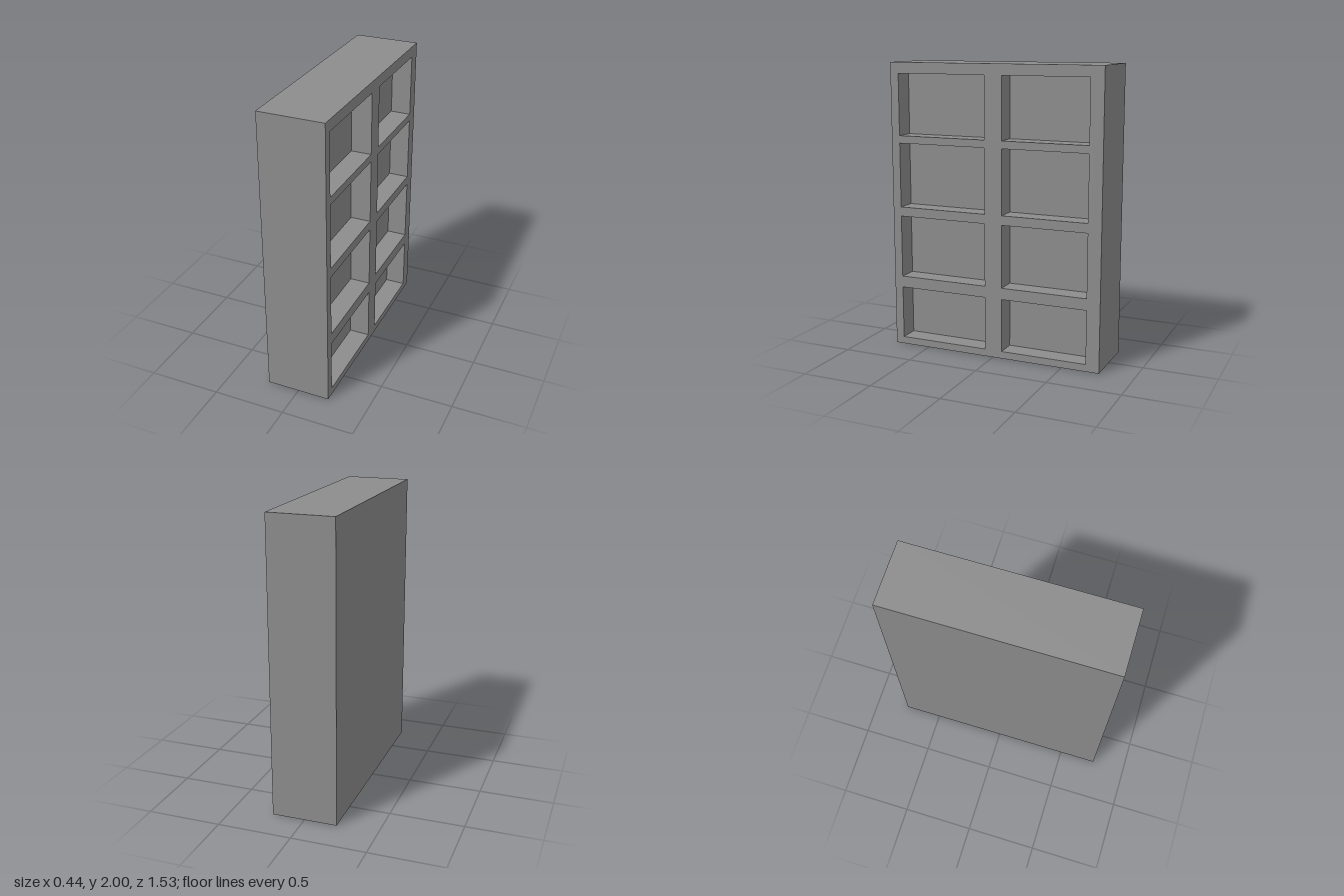
import * as THREE from 'three';

const WIDTH = 0.444, HEIGHT = 2, DEPTH = 1.526, RECESS = 0.14;
const COLUMNS = [[0.06, 0.703], [-0.67, -0.065]];                             // z ranges
const ROWS = [[0.05, 0.42], [0.50, 0.935], [1.0, 1.448], [1.5, 1.925]];       // y ranges

// Box without its +x side; inward = true turns the faces to the inside
function openBox(w, h, d, inward) {
  const g = new THREE.BoxGeometry(w, h, d);
  const index = Array.from(g.index.array).slice(6);
  g.setIndex(inward ? index.reverse() : index);
  g.clearGroups();
  g.computeVertexNormals();
  return g;
}

// Rectangle outline in the (-z, y) plane
function rectangle(target, z0, z1, y0, y1) {
  target.moveTo(-z1, y0);
  target.lineTo(-z0, y0);
  target.lineTo(-z0, y1);
  target.lineTo(-z1, y1);
  target.closePath();
  return target;
}

export function createModel() {
  const group = new THREE.Group();
  group.name = 'shelfUnit';
  const material = new THREE.MeshStandardMaterial({ color: 0x8c8c8c, flatShading: true });
  const add = (name, geometry, x, y, z) => {
    const mesh = new THREE.Mesh(geometry, material);
    mesh.name = name;
    mesh.position.set(x, y, z);
    group.add(mesh);
  };

  // Plain outer body: back, top, bottom and ends
  add('cabinetBody', openBox(WIDTH, HEIGHT, DEPTH, false), 0, HEIGHT / 2, 0);

  // Face frame with openings, and a recessed compartment behind each
  const frame = rectangle(new THREE.Shape(), -DEPTH / 2, DEPTH / 2, 0, HEIGHT);
  COLUMNS.forEach(([z0, z1], c) => ROWS.forEach(([y0, y1], r) => {
    frame.holes.push(rectangle(new THREE.Path(), z0, z1, y0, y1));
    add(`compartment${c + 1}_${r + 1}`, openBox(RECESS, y1 - y0, z1 - z0, true),
      (WIDTH - RECESS) / 2, (y0 + y1) / 2, (z0 + z1) / 2);
  }));
  add('faceFrame', new THREE.ShapeGeometry(frame).rotateY(Math.PI / 2), WIDTH / 2, 0, 0);

  return group;
}
